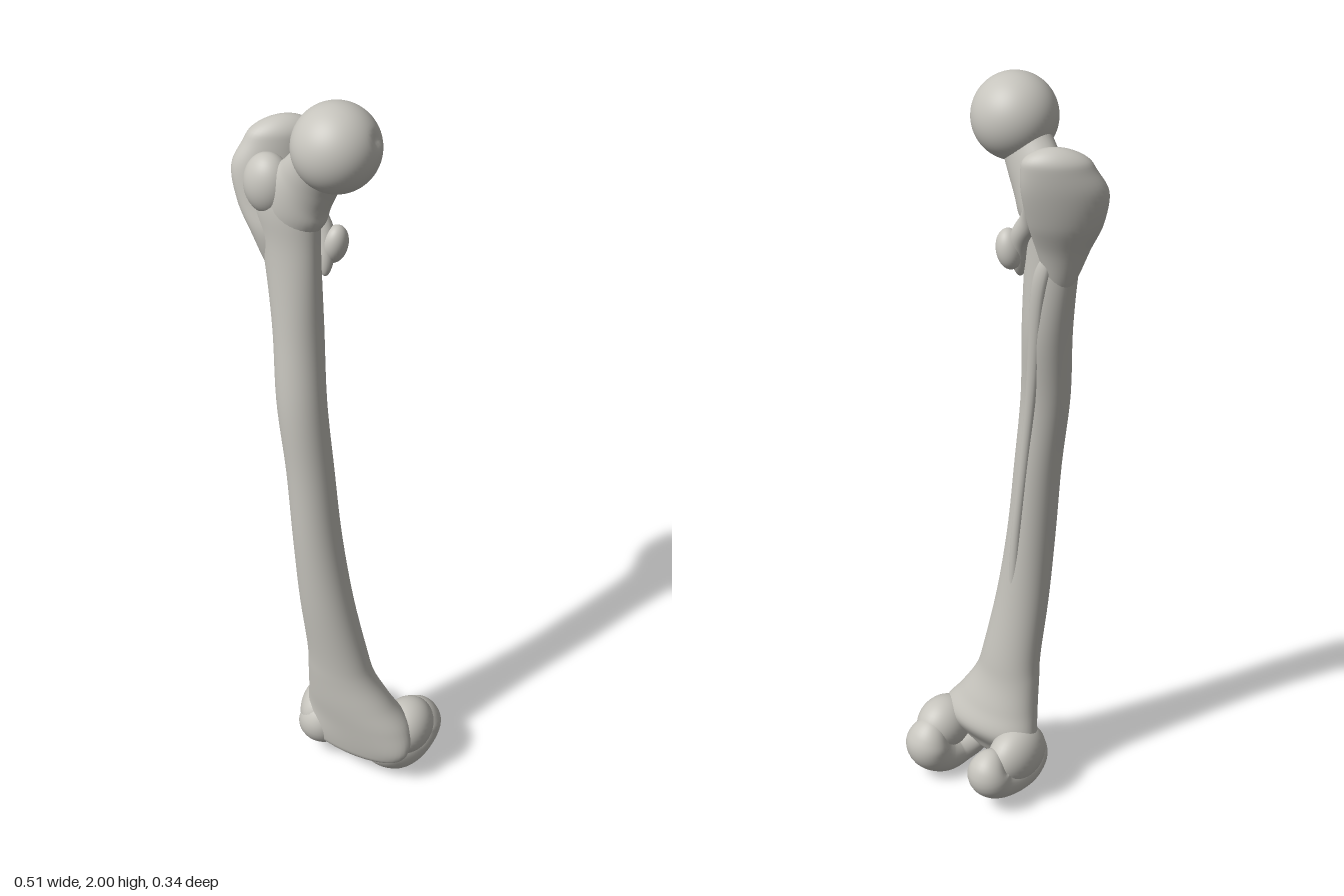
import * as THREE from 'three';
import { mergeVertices } from 'three/addons/utils/BufferGeometryUtils.js';

const V = (x, y, z) => new THREE.Vector3(x, y, z);

// Smooth closed loft through sections [x, y, z, radiusU, radiusV] with domed ends.
// ref gives the U direction; axis, if set, keeps every ring in one plane direction.
function loft(sections, { ref = V(1, 0, 0), axis = null, caps = [0.2, 0.2], rings = 48, sides = 36 } = {}) {
  const path = new THREE.CatmullRomCurve3(sections.map(s => V(s[0], s[1], s[2])), false, 'catmullrom', 0.5);
  const radii = new THREE.CatmullRomCurve3(sections.map(s => V(s[3], s[4], 0)), false, 'catmullrom', 0.5);
  const dome = d => (d >= 1 ? 1 : Math.sqrt(Math.max(1e-6, 1 - (1 - d) ** 2)));
  const pos = [], index = [];
  for (let i = 0; i <= rings; i++) {
    const t = (1 - Math.cos((Math.PI * i) / rings)) / 2;
    const c = path.getPoint(t), r = radii.getPoint(t);
    const k = dome(t / caps[0]) * dome((1 - t) / caps[1]);
    const w = axis ? axis.clone() : path.getTangent(t);
    const u = ref.clone().addScaledVector(w, -ref.dot(w)).normalize();
    const v = w.clone().cross(u);
    for (let j = 0; j < sides; j++) {
      const a = (j / sides) * Math.PI * 2;
      const p = c.clone().addScaledVector(u, Math.cos(a) * r.x * k).addScaledVector(v, Math.sin(a) * r.y * k);
      pos.push(p.x, p.y, p.z);
      if (i < rings) {
        const j2 = (j + 1) % sides, b = i * sides, n = b + sides;
        index.push(b + j, b + j2, n + j, b + j2, n + j2, n + j);
      }
    }
  }
  const g = new THREE.BufferGeometry();
  g.setAttribute('position', new THREE.Float32BufferAttribute(pos, 3));
  g.setIndex(index);
  g.computeVertexNormals();
  return g;
}

// Ball with a shallow pit pressed in around one direction
function pittedBall(radius, dir, depth, spread) {
  let g = new THREE.SphereGeometry(radius, 64, 48);
  g.deleteAttribute('uv');
  g.deleteAttribute('normal');
  g = mergeVertices(g, 1e-5);
  const p = g.attributes.position, v = V(0, 0, 0);
  for (let i = 0; i < p.count; i++) {
    v.fromBufferAttribute(p, i);
    const a = v.angleTo(dir) / spread;
    v.multiplyScalar(1 - depth * Math.exp(-a * a));
    p.setXYZ(i, v.x, v.y, v.z);
  }
  g.computeVertexNormals();
  return g;
}

export function createModel() {
  const model = new THREE.Group();
  model.name = 'thighBone';
  const bone = new THREE.MeshStandardMaterial({ color: 0xc6c4bd });
  bone.name = 'bone';

  const add = (name, geometry) => {
    const m = new THREE.Mesh(geometry, bone);
    m.name = name;
    model.add(m);
    return m;
  };
  const ellipsoid = (name, c, r) => {
    const m = add(name, new THREE.SphereGeometry(1, 36, 24));
    m.position.set(...c);
    m.scale.set(...r);
    return m;
  };

  // Bowed shaft, flaring towards the knee
  const up = V(0, 1, 0);
  add('shaft', loft([
    [0.065, 0.06, 0.045, 0.12, 0.035],
    [0.068, 0.12, 0.035, 0.165, 0.055],
    [0.068, 0.19, 0.018, 0.155, 0.08],
    [0.05, 0.26, 0.03, 0.125, 0.075],
    [0.03, 0.34, 0.043, 0.098, 0.066],
    [0.02, 0.42, 0.05, 0.085, 0.064],
    [-0.002, 0.6, 0.068, 0.073, 0.063],
    [-0.022, 0.8, 0.078, 0.063, 0.062],
    [-0.04, 1.0, 0.08, 0.06, 0.06],
    [-0.0625, 1.2, 0.08, 0.0625, 0.06],
    [-0.083, 1.4, 0.06, 0.063, 0.06],
    [-0.105, 1.6, 0.05, 0.075, 0.052],
    [-0.12, 1.7, 0.047, 0.09, 0.053],
    [-0.125, 1.8, 0.045, 0.09, 0.045],
  ], { axis: up, caps: [0.05, 0.07], rings: 110, sides: 48 }));

  // Rough line down the back of the shaft
  add('rearRidge', loft([
    [0.0, 0.5, 0.02, 0.014, 0.012],
    [-0.02, 0.8, 0.02, 0.014, 0.012],
    [-0.045, 1.05, 0.025, 0.014, 0.012],
    [-0.07, 1.25, 0.02, 0.016, 0.012],
    [-0.1, 1.5, 0.003, 0.02, 0.012],
    [-0.13, 1.62, 0.005, 0.025, 0.014],
  ], { sides: 16 }));

  // Ball head and slanting neck
  add('head', pittedBall(0.103, V(0.93, 0.33, -0.2), 0.09, 0.16)).position.set(0.03, 1.897, 0.067);
  add('neck', loft([
    [-0.125, 1.58, 0.047, 0.06, 0.045],
    [-0.1, 1.71, 0.045, 0.088, 0.056],
    [-0.055, 1.785, 0.05, 0.074, 0.053],
    [-0.005, 1.855, 0.062, 0.064, 0.056],
    [0.03, 1.9, 0.067, 0.072, 0.065],
  ], { caps: [0.25, 0.1] }));

  // Greater trochanter: a slab set diagonally on the outer side
  add('greaterTrochanter', loft([
    [-0.135, 1.5, 0.045, 0.05, 0.045],
    [-0.146, 1.62, 0.04, 0.066, 0.05],
    [-0.168, 1.7, 0.022, 0.088, 0.05],
    [-0.179, 1.78, 0.005, 0.1, 0.047],
    [-0.172, 1.84, -0.012, 0.085, 0.043],
    [-0.166, 1.89, -0.022, 0.068, 0.036],
  ], { ref: V(0.707, 0, -0.707), axis: up, caps: [0.3, 0.16] }));
  ellipsoid('frontTubercle', [-0.158, 1.755, 0.062], [0.06, 0.075, 0.052]);

  // Lesser trochanter and the crest leading to it
  add('trochantericCrest', loft([
    [-0.14, 1.79, -0.045, 0.03, 0.025],
    [-0.09, 1.7, -0.008, 0.026, 0.022],
    [-0.045, 1.63, 0.0, 0.024, 0.022],
    [-0.03, 1.53, 0.022, 0.02, 0.02],
  ], { sides: 20 }));
  const lesser = ellipsoid('lesserTrochanter', [-0.022, 1.604, -0.008], [0.031, 0.05, 0.034]);
  lesser.rotation.z = -0.2;

  // Condyles: rollers curling from the front, underneath and up the back
  add('innerCondyle', loft([
    [0.125, 0.165, 0.03, 0.06, 0.045],
    [0.14, 0.105, 0.025, 0.06, 0.05],
    [0.165, 0.07, -0.015, 0.06, 0.056],
    [0.175, 0.066, -0.065, 0.063, 0.06],
    [0.182, 0.095, -0.106, 0.064, 0.06],
    [0.182, 0.13, -0.11, 0.064, 0.058],
    [0.178, 0.185, -0.085, 0.06, 0.055],
  ], { caps: [0.25, 0.25] }));
  add('outerCondyle', loft([
    [-0.03, 0.19, 0.045, 0.055, 0.045],
    [-0.04, 0.125, 0.05, 0.06, 0.05],
    [-0.045, 0.088, 0.02, 0.06, 0.052],
    [-0.045, 0.082, -0.03, 0.06, 0.054],
    [-0.04, 0.095, -0.085, 0.06, 0.056],
    [-0.038, 0.13, -0.108, 0.06, 0.057],
    [-0.035, 0.185, -0.08, 0.055, 0.05],
  ], { caps: [0.25, 0.25] }));

  // Side swellings above the condyles
  ellipsoid('innerEpicondyle', [0.185, 0.145, -0.045], [0.069, 0.078, 0.085]);
  ellipsoid('outerEpicondyle', [-0.052, 0.14, -0.01], [0.063, 0.082, 0.095]);

  return model;
}
